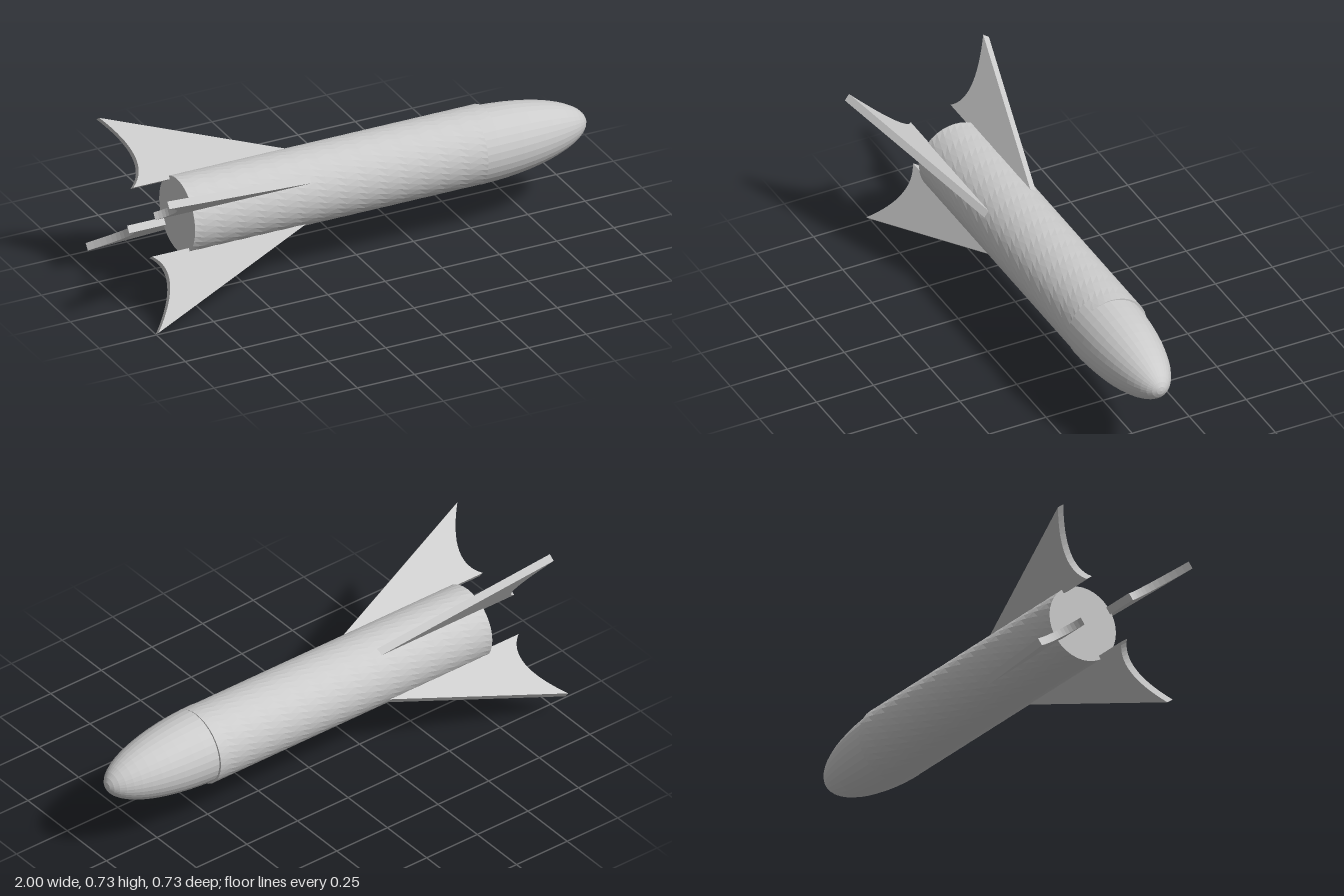
import * as THREE from 'three';

export function createModel() {
  const model = new THREE.Group();
  const material = new THREE.MeshStandardMaterial({ color: 0xcccccc, flatShading: true });
  const axisY = 0.358;

  function add(name, geometry) {
    const mesh = new THREE.Mesh(geometry, material);
    mesh.name = name;
    model.add(mesh);
    return mesh;
  }

  // Tubular body: every other ring is turned half a step for triangular facets
  const rear = -0.78, front = 0.56, sides = 36, rows = 30;
  const length = front - rear;
  const bodyGeometry = new THREE.CylinderGeometry(0.156, 0.156, length, sides, rows);
  const pos = bodyGeometry.attributes.position;
  const v = new THREE.Vector3();
  const up = new THREE.Vector3(0, 1, 0);
  for (let i = 0; i < pos.count; i++) {
    v.fromBufferAttribute(pos, i);
    const row = Math.round((v.y / length + 0.5) * rows);
    if (row % 2) v.applyAxisAngle(up, Math.PI / sides);
    pos.setXYZ(i, v.x, v.y, v.z);
  }
  bodyGeometry.rotateZ(-Math.PI / 2);
  add('body', bodyGeometry).position.set((rear + front) / 2, axisY, -0.006);

  // Rounded nose cone: half an ellipsoid seated in the front of the body
  const noseGeometry = new THREE.SphereGeometry(1, 32, 14, 0, Math.PI * 2, 0, Math.PI / 2);
  noseGeometry.scale(0.154, 0.5, 0.154).rotateZ(-Math.PI / 2);
  add('noseCone', noseGeometry).position.set(0.5, axisY, 0);

  // Swept fins with a concave trailing edge, drawn as length against radius
  const outline = new THREE.Shape();
  outline.moveTo(-0.94, 0.14);
  outline.lineTo(-0.262, 0.14);
  outline.lineTo(-0.262, 0.15);
  outline.lineTo(-1, 0.437);
  outline.quadraticCurveTo(-0.825, 0.23, -0.94, 0.14);
  const thickness = 0.031;
  const finGeometry = new THREE.ExtrudeGeometry(outline, {
    depth: thickness, bevelEnabled: false, curveSegments: 16,
  });
  finGeometry.translate(0, 0, -thickness / 2);
  for (let i = 0; i < 4; i++) {
    const fin = add('fin' + (i + 1), finGeometry);
    fin.position.y = 0.362;
    fin.rotation.x = THREE.MathUtils.degToRad(54 + i * 90);
  }

  return model;
}
